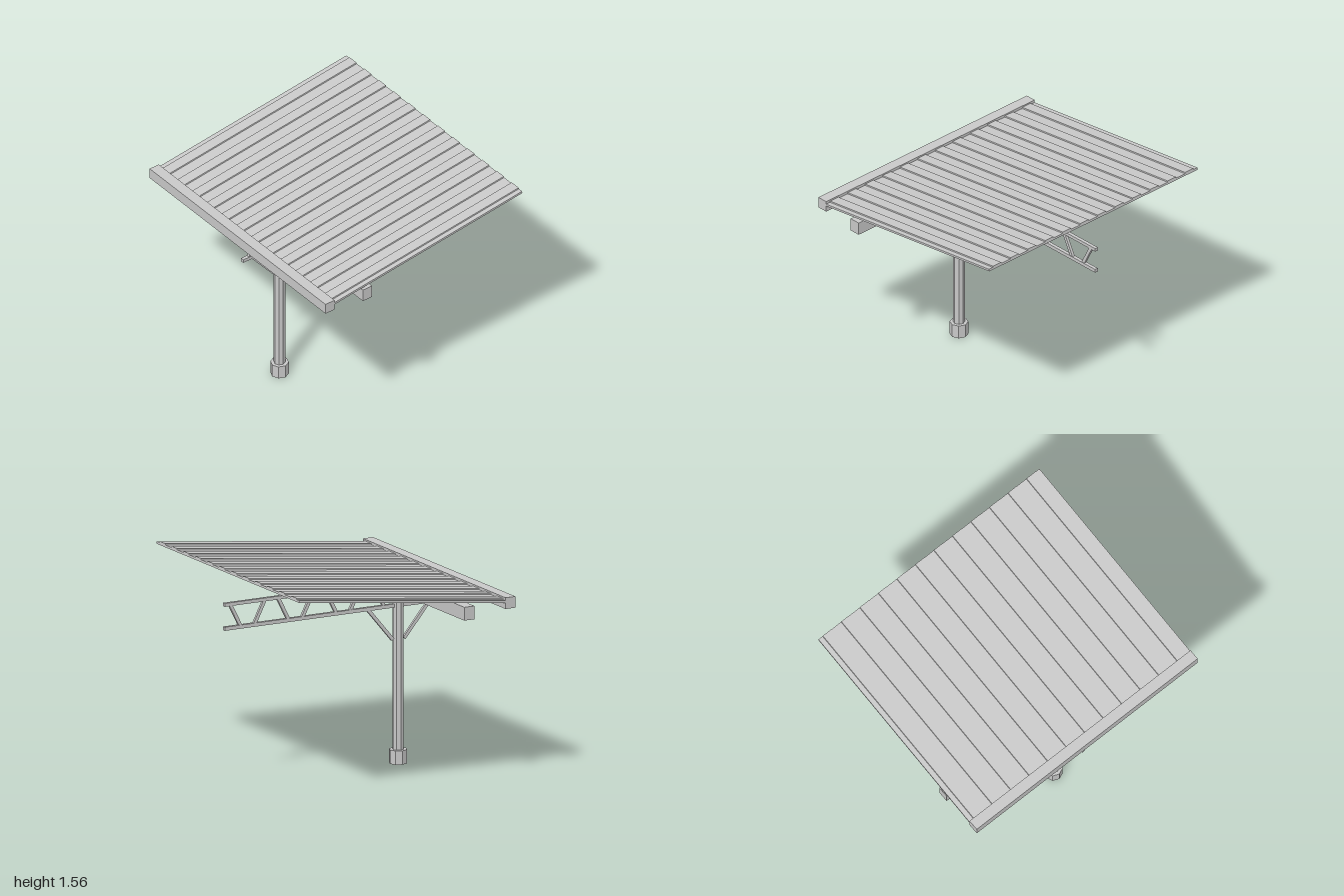
import * as THREE from 'three';

export function createModel() {
  const group = new THREE.Group();
  const grey = new THREE.MeshStandardMaterial({ color: 0xc8c8c8 });
  grey.name = 'light grey';

  const add = (name, geometry, x, y, z) => {
    const mesh = new THREE.Mesh(geometry, grey);
    mesh.name = name;
    mesh.position.set(x, y, z);
    group.add(mesh);
    return mesh;
  };

  // Box given by its width in x and its limits in y and z, centred on x = 0
  const box = (name, w, y0, y1, z0, z1) =>
    add(name, new THREE.BoxGeometry(w, y1 - y0, z1 - z0), 0, (y0 + y1) / 2, (z0 + z1) / 2);

  // Eight-sided upright; separate face normals keep the facets crisp
  const octagon = (name, r, y0, y1, z) => {
    const geo = new THREE.CylinderGeometry(r, r, y1 - y0, 8).toNonIndexed();
    geo.computeVertexNormals();
    return add(name, geo, 0, (y0 + y1) / 2, z);
  };

  // Square bar between two points in the x = 0 plane
  const bar = (name, y0, z0, y1, z1, w, t) => {
    const dy = y1 - y0, dz = z1 - z0;
    const mesh = add(name, new THREE.BoxGeometry(w, t, Math.hypot(dy, dz)), 0, (y0 + y1) / 2, (z0 + z1) / 2);
    mesh.rotation.x = -Math.atan2(dy, dz);
    return mesh;
  };

  // Column
  const postZ = 0.516;
  octagon('base', 0.065, 0, 0.1, postZ);
  octagon('post', 0.041, 0.1, 1.2, postZ);
  box('postCap', 0.145, 1.175, 1.275, 0.443, 0.591);

  // Cross beam and front fascia
  box('crossBeam', 2, 1.242, 1.338, 0.476, 0.557);
  box('frontFascia', 2, 1.285, 1.366, 0.808, 0.888);

  // Cantilever truss
  box('topChord', 0.026, 1.298, 1.322, -0.888, 0.848);
  box('bottomChord', 0.026, 1.125, 1.151, -0.888, 0.848);
  for (let i = 0; i < 5; i++) {
    const z = 0.785 - i * 0.386;
    bar('trussWeb', 1.138, z + 0.005, 1.31, z - 0.082, 0.02, 0.024);
    if (i < 4) bar('trussWeb', 1.31, z - 0.187, 1.138, z - 0.274, 0.02, 0.024);
  }

  // Knee braces
  for (const s of [-1, 1]) {
    bar('kneeBrace', 0.895, postZ + s * 0.046, 1.135, postZ + s * 0.247, 0.02, 0.024);
  }

  // Ribbed roof sheet: flat underside, raised ribs, sloping up to the back
  const pan = 0.016, rib = 0.025, half = 0.0415;
  const profile = new THREE.Shape();
  profile.moveTo(-1, 0);
  profile.lineTo(1, 0);
  profile.lineTo(1, pan);
  for (let i = 0; i < 12; i++) {
    const x = 0.922 - i * 0.1676;
    profile.lineTo(x + half, pan);
    profile.lineTo(x + half - 0.002, rib);
    profile.lineTo(x - half + 0.002, rib);
    profile.lineTo(x - half, pan);
  }
  profile.lineTo(-1, pan);
  profile.closePath();
  const rise = 0.204, run = 1.667;
  const roof = add('roofSheet', new THREE.ExtrudeGeometry(profile, {
    depth: Math.hypot(rise, run), bevelEnabled: false,
  }), 0, 1.533, -0.857);
  roof.rotation.x = Math.atan2(rise, run);

  return group;
}
